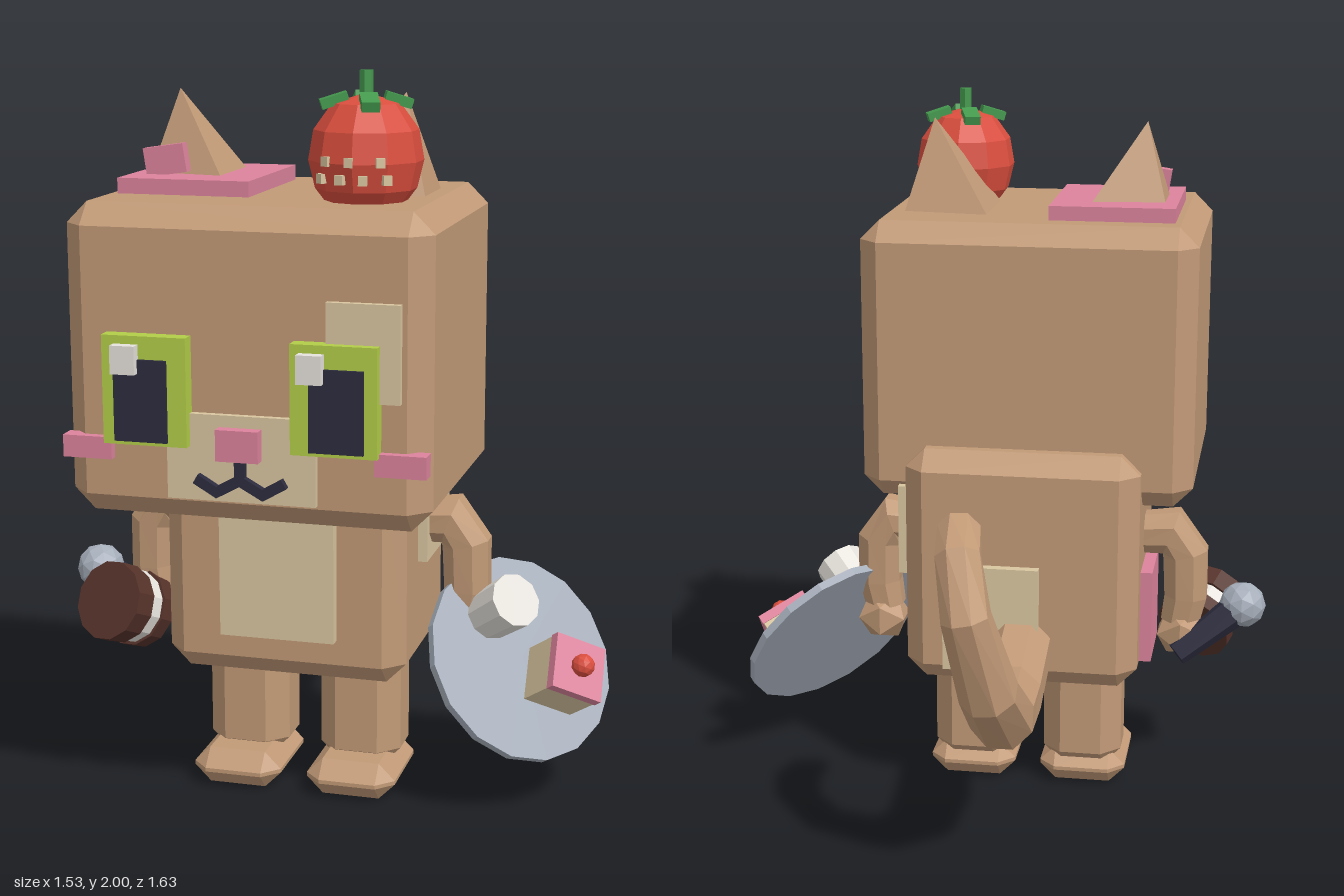
import * as THREE from 'three';
import { ConvexGeometry } from 'three/addons/geometries/ConvexGeometry.js';

const V = (x, y, z) => new THREE.Vector3(x, y, z);
const MID = -0.083; // the animal's own centre line

function mat(name, color) {
  const m = new THREE.MeshStandardMaterial({ color, flatShading: true });
  m.name = name;
  return m;
}

// Box with all edges bevelled, given by its limits
function bevelBox(x0, x1, y0, y1, z0, z1, c) {
  const pts = [];
  const w = (x1 - x0) / 2, h = (y1 - y0) / 2, d = (z1 - z0) / 2;
  for (const i of [-1, 1]) for (const j of [-1, 1]) for (const k of [-1, 1]) {
    pts.push(V(i * w, j * (h - c), k * (d - c)), V(i * (w - c), j * h, k * (d - c)), V(i * (w - c), j * (h - c), k * d));
  }
  return new ConvexGeometry(pts).translate((x0 + x1) / 2, (y0 + y1) / 2, (z0 + z1) / 2);
}

// Plain box given by its limits
function box(x0, x1, y0, y1, z0, z1) {
  return new THREE.BoxGeometry(x1 - x0, y1 - y0, z1 - z0).translate((x0 + x1) / 2, (y0 + y1) / 2, (z0 + z1) / 2);
}

// Faceted limb: rings of given radii along a path, closed at both ends
function limb(path, radii, ref, sides = 8) {
  const pos = [], idx = [], n = path.length;
  path.forEach((p, i) => {
    const t = path[Math.min(i + 1, n - 1)].clone().sub(path[Math.max(i - 1, 0)]).normalize();
    const side = ref.clone().cross(t).normalize(), up = t.clone().cross(side);
    for (let j = 0; j < sides; j++) {
      const a = (j + 0.5) / sides * Math.PI * 2;
      const q = p.clone().addScaledVector(side, radii[i] * Math.cos(a)).addScaledVector(up, radii[i] * Math.sin(a));
      pos.push(q.x, q.y, q.z);
    }
  });
  pos.push(...path[0].toArray(), ...path[n - 1].toArray());
  const first = n * sides, last = first + 1;
  for (let j = 0; j < sides; j++) {
    const k = (j + 1) % sides, e = (n - 1) * sides;
    for (let i = 0; i < n - 1; i++) {
      const a = i * sides, b = a + sides;
      idx.push(a + j, a + k, b + j, a + k, b + k, b + j);
    }
    idx.push(first, k, j, last, e + j, e + k);
  }
  const g = new THREE.BufferGeometry();
  g.setAttribute('position', new THREE.Float32BufferAttribute(pos, 3));
  g.setIndex(idx);
  g.computeVertexNormals();
  return g;
}

export function createModel() {
  const model = new THREE.Group();
  model.name = 'toyCat';
  const fur = mat('fur', 0xc29a77), cream = mat('cream', 0xd9c6a0), pink = mat('pink', 0xdc839c);
  const lime = mat('eyeGreen', 0xb2cd48), dark = mat('dark', 0x2c2c3e), white = mat('white', 0xe6e2dc);
  const grey = mat('grey', 0xa6aeba), red = mat('red', 0xda4e3e), leaf = mat('leafGreen', 0x449a4e);
  const choc = mat('chocolate', 0x55322a);

  const add = (name, geo, m, parent = model) => {
    const mesh = new THREE.Mesh(geo, m);
    mesh.name = name;
    parent.add(mesh);
    return mesh;
  };

  // Head and body
  add('head', bevelBox(-0.557, 0.388, 0.886, 1.68, -0.016, 0.745, 0.055), fur);
  add('body', bevelBox(-0.416, 0.25, 0.366, 1.05, -0.1, 0.435, 0.055), fur);

  // Patches
  add('bellyPatch', box(-0.245, 0.071, 0.49, 0.95, 0.42, 0.466), cream);
  add('backPatch', box(-0.14, 0.133, 0.42, 0.73, -0.127, -0.09), cream);
  add('leftSidePatch', box(0.24, 0.276, 0.67, 0.93, -0.03, 0.25), cream);
  add('rightSidePatch', box(-0.45, -0.4, 0.42, 0.69, 0.02, 0.25), pink);
  add('foreheadPatch', box(0.134, 0.32, 1.22, 1.464, 0.73, 0.763), cream);
  add('muzzle', box(-0.277, 0.108, 0.95, 1.17, 0.73, 0.763), cream);
  add('earPatch', box(-0.485, -0.133, 1.67, 1.72, 0.103, 0.523), pink);

  // Nose and mouth
  add('nose', box(-0.14, -0.03, 1.06, 1.14, 0.75, 0.795), pink);
  const stroke = (x0, y0, x1, y1) => {
    const s = add('mouth', new THREE.BoxGeometry(Math.hypot(x1 - x0, y1 - y0) + 0.015, 0.026, 0.03), dark);
    s.position.set((x0 + x1) / 2, (y0 + y1) / 2, 0.768);
    s.rotation.z = Math.atan2(y1 - y0, x1 - x0);
  };
  stroke(MID, 1.06, MID, 1.01);

  // Paired parts
  for (const s of [-1, 1]) {
    const X = d => MID + s * d;
    const span = (a, b) => [Math.min(X(a), X(b)), Math.max(X(a), X(b))];
    add('eye', box(...span(0.133, 0.352), 1.087, 1.363, 0.73, 0.788), lime);
    add('pupil', box(...span(0.182, 0.32), 1.097, 1.305, 0.78, 0.797), dark);
    const hx = s < 0 ? -0.403 : 0.073;
    add('eyeHighlight', box(hx, hx + 0.064, 1.27, 1.342, 0.78, 0.817), white);
    add('cheek', box(...span(0.34, 0.47), 1.04, 1.097, 0.72, 0.768), pink);
    stroke(X(0), 1.01, X(0.06), 0.977);
    stroke(X(0.06), 0.977, X(0.108), 1.005);

    add('ear', new ConvexGeometry([
      V(X(0.377), 1.675, 0.2), V(X(0.132), 1.675, 0.168), V(X(0.132), 1.675, 0.435),
      V(X(0.377), 1.675, 0.39), V(X(0.305), 1.935, 0.3)]), fur);
    add('leg', bevelBox(...span(0.047, 0.277), 0.05, 0.42, 0.05, 0.26, 0.055), fur);
    add('foot', bevelBox(...span(0.038, 0.29), 0, 0.103, 0.05, 0.372, 0.046), fur);

    const arm = [[0.3, 0.765], [0.41, 0.775], [0.452, 0.71], [0.455, 0.58], [0.44, 0.5]];
    add('arm', limb(arm.map(([x, y]) => V(X(x), y, 0.165)), [0.06, 0.073, 0.07, 0.066, 0.06], V(0, 0, 1)), fur);
    add('hand', new THREE.IcosahedronGeometry(0.08, 0).translate(X(0.445), 0.47, 0.155), fur);
  }
  const inner = add('innerEar', new THREE.BoxGeometry(0.11, 0.075, 0.035), pink);
  inner.position.set(-0.392, 1.757, 0.405);
  inner.rotation.z = 0.15;

  // Curled tail
  const tail = [[-0.085, 0.5, -0.04], [-0.085, 0.43, -0.31], [-0.1, 0.455, -0.52], [-0.09, 0.59, -0.68],
    [-0.045, 0.82, -0.755], [-0.015, 0.955, -0.69], [0, 0.985, -0.59], [0.005, 0.955, -0.51], [0, 0.905, -0.445]];
  add('tail', limb(tail.map(p => V(...p)), [0.095, 0.097, 0.09, 0.08, 0.066, 0.062, 0.06, 0.053, 0.025], V(1, 0, 0)), fur);

  // Strawberry on the head
  const berry = new THREE.Group();
  berry.name = 'strawberry';
  berry.position.set(0.165, 0, 0.49);
  model.add(berry);
  const profile = [[0, 1.655], [0.09, 1.66], [0.128, 1.71], [0.145, 1.78], [0.132, 1.855], [0.085, 1.92], [0, 1.945]];
  add('berryFlesh', new THREE.LatheGeometry(profile.map(p => new THREE.Vector2(...p)), 10), red, berry);
  add('stem', new THREE.CylinderGeometry(0.018, 0.018, 0.08, 6).translate(0, 1.96, 0), leaf, berry);
  for (let i = 0; i < 4; i++) {
    const l = add('leaf', new THREE.BoxGeometry(0.045, 0.025, 0.07), leaf, berry);
    const a = 0.35 + i * Math.PI / 2;
    l.rotation.set(0.3, a, 0, 'YXZ');
    l.position.set(Math.sin(a) * 0.08, 1.927, Math.cos(a) * 0.08);
  }
  for (const [y, xs] of [[1.785, [-0.07, -0.008, 0.065]], [1.742, [-0.085, -0.032, 0.025, 0.08]]]) {
    for (const x of xs) {
      const a = Math.asin(x / 0.14);
      const seed = add('seed', new THREE.BoxGeometry(0.022, 0.024, 0.02), cream, berry);
      seed.position.set(x, y, Math.cos(a) * 0.136);
      seed.rotation.y = a;
    }
  }

  // Tilted tray with cup and cake, in the left hand
  const tray = new THREE.Group();
  tray.name = 'tray';
  tray.position.set(0.525, 0.395, 0.185);
  const up = V(0.635, 0.54, 0.55).normalize();
  const across = V(0.767, -0.413, -0.479).addScaledVector(up, 0).normalize();
  const down = across.clone().cross(up).normalize();
  across.copy(up).cross(down);
  tray.quaternion.setFromRotationMatrix(new THREE.Matrix4().makeBasis(across, up, down));
  model.add(tray);
  add('plate', new THREE.CylinderGeometry(0.288, 0.288, 0.025, 16), grey, tray);
  add('cup', new THREE.CylinderGeometry(0.075, 0.07, 0.136, 10).translate(-0.119, 0.08, -0.087), white, tray);
  add('cake', new THREE.BoxGeometry(0.15, 0.115, 0.15).translate(0.094, 0.07, 0.042), cream, tray);
  add('icing', new THREE.BoxGeometry(0.155, 0.03, 0.155).translate(0.094, 0.142, 0.042), pink, tray);
  add('cherry', new THREE.IcosahedronGeometry(0.032, 1).translate(0.094, 0.175, 0.042), red, tray);

  // Sandwich biscuit and microphone, in the right hand
  const biscuit = new THREE.Group();
  biscuit.name = 'biscuit';
  biscuit.position.set(-0.585, 0.488, 0.285);
  biscuit.quaternion.setFromUnitVectors(V(0, 1, 0), V(-0.34, 0.4, 0.85).normalize());
  model.add(biscuit);
  add('biscuitFront', new THREE.CylinderGeometry(0.112, 0.112, 0.065, 12).translate(0, 0.046, 0), choc, biscuit);
  add('biscuitFilling', new THREE.CylinderGeometry(0.104, 0.104, 0.05, 12).translate(0, -0.01, 0), white, biscuit);
  add('biscuitBack', new THREE.CylinderGeometry(0.112, 0.112, 0.045, 12).translate(0, -0.056, 0), choc, biscuit);
  add('microphoneHandle', limb([V(-0.52, 0.42, 0.09), V(-0.69, 0.545, 0.165)], [0.035, 0.048], V(0, 0, 1)), dark);
  add('microphoneHead', new THREE.IcosahedronGeometry(0.068, 1).translate(-0.703, 0.555, 0.172), grey);

  return model;
}
